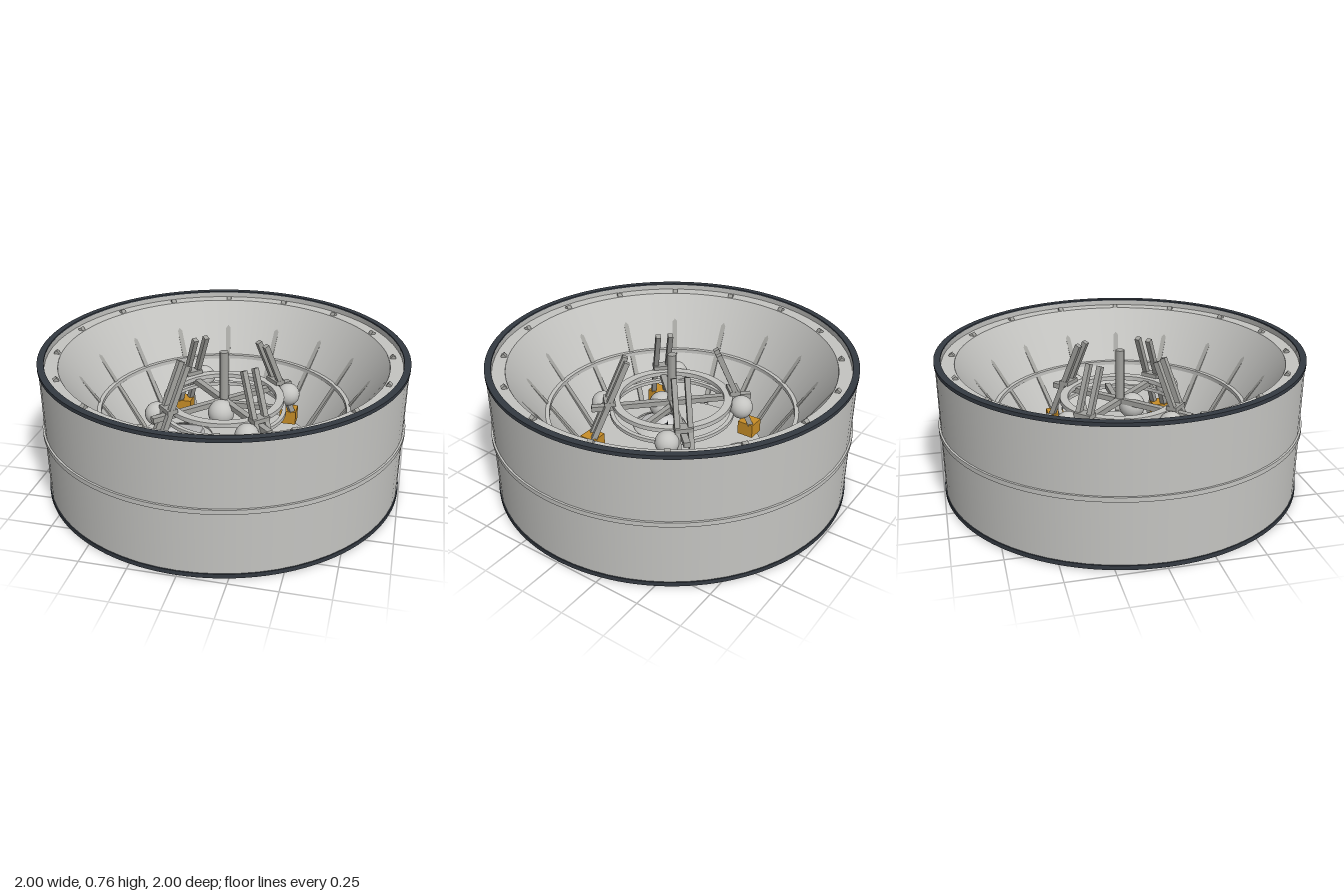
import * as THREE from 'three';

const mat = (name, color, side = THREE.FrontSide) =>
  Object.assign(new THREE.MeshStandardMaterial({ color, side }), { name });

export function createModel() {
  const model = new THREE.Group();
  const hull = mat('light grey', 0xc4c4c1, THREE.DoubleSide);
  const steel = mat('steel grey', 0xa3a39f);
  const dark = mat('dark slate', 0x343a42);
  const gold = mat('gold', 0xc78d27);

  const add = (name, geometry, material, parent = model) => {
    const mesh = new THREE.Mesh(geometry, material);
    mesh.name = name;
    parent.add(mesh);
    return mesh;
  };
  const lathe = (points, segments = 64) =>
    new THREE.LatheGeometry(points.map(([r, y]) => new THREE.Vector2(r, y)), segments);
  // Rectangular-section ring with crisp edges
  const band = (r0, r1, y0, y1) => {
    const shape = new THREE.Shape().absarc(0, 0, r1, 0, Math.PI * 2);
    shape.holes.push(new THREE.Path().absarc(0, 0, r0, 0, Math.PI * 2, true));
    return new THREE.ExtrudeGeometry(shape, { depth: y1 - y0, bevelEnabled: false, curveSegments: 64 })
      .rotateX(-Math.PI / 2).translate(0, y0, 0);
  };
  // Box beam between two points
  const beam = (name, a, b, w, h, material, parent) => {
    const from = new THREE.Vector3(...a), to = new THREE.Vector3(...b);
    const mesh = add(name, new THREE.BoxGeometry(w, h, from.distanceTo(to)), material, parent);
    mesh.position.copy(from).lerp(to, 0.5);
    mesh.quaternion.setFromUnitVectors(new THREE.Vector3(0, 0, 1), to.sub(from).normalize());
    return mesh;
  };

  // Outer shell with rims and a middle band
  add('outerShell', new THREE.CylinderGeometry(0.99, 0.99, 0.74, 64, 1, true).translate(0, 0.385, 0), hull);
  add('topRim', band(0.96, 0.995, 0.748, 0.768), dark);
  add('bottomRim', band(0.965, 0.995, 0.008, 0.032), dark);
  add('middleBand', band(0.985, 1, 0.375, 0.4), hull);

  // Inner ledge and conical wall
  add('innerLip', new THREE.CylinderGeometry(0.96, 0.96, 0.03, 64, 1, true).translate(0, 0.745, 0), hull);
  add('ledge', band(0.89, 0.96, 0.725, 0.732), hull);
  add('innerCone', lathe([[0.52, 0.16], [0.89, 0.73]]), hull);
  add('coneRing', band(0.68, 0.71, 0.42, 0.442), hull);

  // Ribs along the conical wall
  for (let i = 0; i < 16; i++) {
    const rib = new THREE.Group();
    rib.name = 'wallRib';
    rib.rotation.y = (i + 0.5) * Math.PI / 8;
    beam('rib', [0, 0.17, 0.52], [0, 0.745, 0.92], 0.028, 0.022, steel, rib);
    model.add(rib);
  }

  // Base plate with five openings
  const spots = [[0, 0]];
  for (const x of [-0.32, 0.32]) for (const z of [-0.32, 0.32]) spots.push([x, z]);
  const plate = new THREE.Shape().absarc(0, 0, 0.968, 0, Math.PI * 2);
  for (const [x, z] of spots) plate.holes.push(new THREE.Path().absarc(x, -z, 0.165, 0, Math.PI * 2, true));
  add('basePlate', new THREE.ExtrudeGeometry(plate, { depth: 0.015, bevelEnabled: false, curveSegments: 48 })
    .rotateX(-Math.PI / 2).translate(0, 0.015, 0), hull);

  // Flared collars and dark nozzles in the openings
  const collar = lathe([[0.185, 0.004], [0.165, 0.02], [0.14, 0.04], [0.115, 0.05]], 40);
  const nozzle = new THREE.CylinderGeometry(0.052, 0.052, 0.04, 16, 1, true);
  const nozzleEnd = new THREE.CircleGeometry(0.052, 16).rotateX(Math.PI / 2);
  for (const [x, z] of spots) {
    add('collar', collar, hull).position.set(x, 0, z);
    add('nozzle', nozzle, dark).position.set(x, 0.04, z);
    add('nozzleEnd', nozzleEnd, dark).position.set(x, 0.02, z);
  }

  // Four arms, each with a block, paired struts and a tank
  for (let i = 0; i < 4; i++) {
    const arm = new THREE.Group();
    arm.name = 'frameArm';
    arm.rotation.y = i * Math.PI / 2 + Math.PI / 4;
    beam('crossBeam', [0, 0.46, 0], [0, 0.46, 0.45], 0.035, 0.03, steel, arm);
    for (const s of [-1, 1]) beam('strut', [s * 0.035, 0.745, 0.25], [s * 0.035, 0.28, 0.45], 0.028, 0.03, steel, arm);
    beam('strutLink', [0, 0.5, 0.32], [0, 0.5, 0.38], 0.1, 0.025, steel, arm);
    const block = add('mountBlock', new THREE.BoxGeometry(0.095, 0.08, 0.095), gold, arm);
    block.position.set(0, 0.25, 0.4525);
    block.rotation.y = Math.PI / 4;
    const tank = add('tank', new THREE.SphereGeometry(0.065, 20, 14), hull, arm);
    tank.position.set(-0.092, 0.44, 0.375);
    model.add(arm);
  }

  // Centre post, tank, side bar and the support rings
  add('centrePost', new THREE.CylinderGeometry(0.025, 0.025, 0.3, 8).translate(0, 0.605, 0), steel);
  add('centreTank', new THREE.SphereGeometry(0.073, 20, 14).translate(0, 0.42, 0.07), hull);
  beam('sideBar', [0, 0.44, -0.01], [0.28, 0.44, -0.01], 0.03, 0.03, steel);
  add('upperRing', band(0.29, 0.335, 0.465, 0.49), hull);
  add('lowerRing', band(0.325, 0.348, 0.4, 0.42), hull);

  return model;
}
